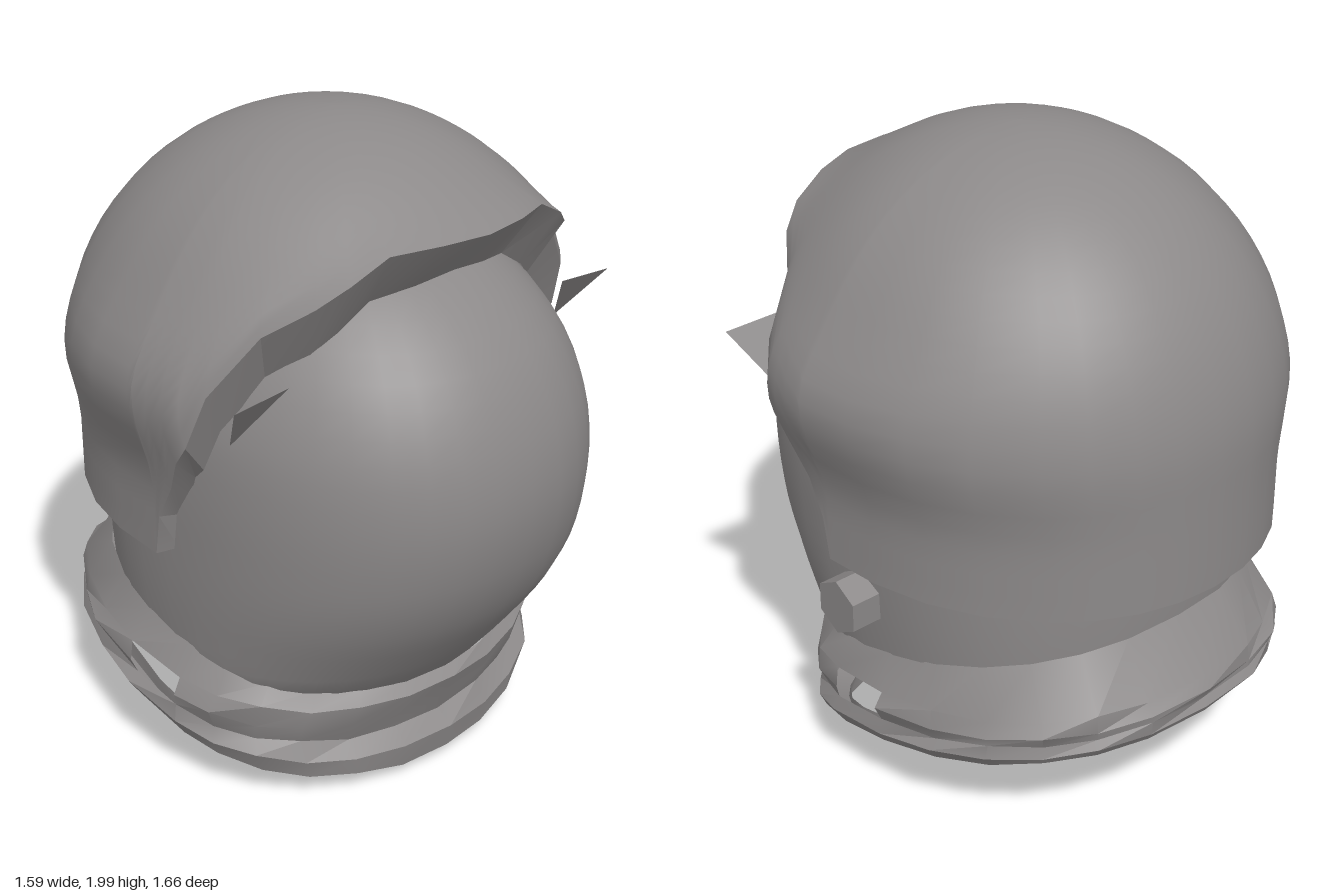
import * as THREE from 'three';
import { toCreasedNormals } from 'three/addons/utils/BufferGeometryUtils.js';

const grey = new THREE.MeshStandardMaterial({ color: 0x8c8989, side: THREE.DoubleSide });
grey.name = 'helmet grey';

const RAD = Math.PI / 180;
const { lerp, clamp, smoothstep } = THREE.MathUtils;
const bell = (v, mid, width) => Math.exp(-(((v - mid) / width) ** 2));
const squared = (v, power) => Math.sign(v) * Math.abs(v) ** power;

// Skin closed loops of points, listed from top to bottom; isHole leaves quads out
function loft(rows, crease, isHole = () => false) {
  const n = rows[0].length, index = [];
  for (let i = 0; i < rows.length - 1; i++) {
    for (let j = 0; j < n; j++) {
      if (isHole(i, j)) continue;
      const k = (j + 1) % n;
      const a = i * n + j, b = i * n + k, c = a + n, d = b + n;
      index.push(a, c, b, b, c, d);
    }
  }
  const g = new THREE.BufferGeometry();
  g.setAttribute('position', new THREE.Float32BufferAttribute(rows.flat(2), 3));
  g.setIndex(index);
  g.computeVertexNormals();
  return crease === undefined ? g : toCreasedNormals(g, crease);
}

function part(name, geometry) {
  const m = new THREE.Mesh(geometry, grey);
  m.name = name;
  return m;
}

// Angle from the front (degrees) and height of the shell's rim there
const RIM = [[0, 1.78], [15, 1.78], [30, 1.77], [40, 1.71], [48, 1.65], [60, 1.56], [69, 1.4],
  [74, 1.24], [78, 1.17], [82, 1.06], [86, 0.95], [87.5, 0.82], [100, 0.82], [113, 0.82],
  [126, 0.82], [140, 0.82], [150, 0.82], [160, 0.82], [170, 0.82], [180, 0.82]];
const AROUND = [...RIM, ...RIM.slice(1, -1).reverse().map(([a, y]) => [360 - a, y])];

// Point on the shell: t = 0 at the crown, 1 at the rim
function shellPoint(deg, rimY, t) {
  const R = 0.8, quarter = R * Math.PI / 2;
  const end = rimY >= 1.2 ? R * Math.acos((rimY - 1.2) / R) : quarter + 1.2 - rimY;
  const s = end * t;
  const y = s < quarter ? 1.2 + R * Math.cos(s / R) : 1.2 - (s - quarter);
  const r = s < quarter ? Math.sin(s / R) : 1;
  const c = Math.cos(deg * RAD), sn = Math.sin(deg * RAD);
  const side = Math.min(deg, 360 - deg);
  const power = c < 0 ? 0.96 : 1;
  // Peak flares out in front and is pinched in at the temples
  const flare = 1 + 0.12 * Math.max(0, c) * t ** 6 - 0.09 * bell(side, 60, 13) * t ** 12;
  // Ear swelling, with the sides stepping in below it
  const bulge = 0.045 * bell(y, 1.4, 0.14) * bell(side, 88, 32);
  const rx = 0.77 - 0.055 * clamp((1.26 - y) / 0.2, 0, 1) + bulge;
  return [rx * r * squared(sn, power) * flare, y, 0.82 * r * squared(c, power) * flare];
}

function shell() {
  const rows = [];
  for (let i = 0; i <= 24; i++) rows.push(AROUND.map(([a, y]) => shellPoint(a, y, i / 24)));
  return loft(rows);
}

// Strip turning inward from the shell's rim to the bubble and neck
function brim() {
  const outer = AROUND.map(([a, y]) => shellPoint(a, y, 1));
  const inner = outer.map(([x, y, z], j) => {
    const c = Math.cos(AROUND[j][0] * RAD), s = Math.abs(Math.sin(AROUND[j][0] * RAD));
    if (c <= 0) return [x * 0.89, y + 0.015, z * 0.84];
    return [x * 0.88, y - Math.min(0.14 + 0.07 * s * c, 0.4 * c), z - 0.13 * c];
  });
  return loft([outer, inner], 0.35);
}

// Rounded visor that runs down into the neck; profile points are (half width, y, front z)
function bubble() {
  const curve = new THREE.CatmullRomCurve3([
    [0.001, 1.7, 0.001], [0.23, 1.68, 0.3], [0.4, 1.6, 0.5], [0.55, 1.42, 0.7], [0.63, 1.22, 0.8],
    [0.65, 1.02, 0.83], [0.65, 0.82, 0.8], [0.645, 0.65, 0.73], [0.635, 0.5, 0.63], [0.62, 0.33, 0.5],
  ].map(p => new THREE.Vector3(...p)));
  const rows = curve.getPoints(27).map(p => {
    const row = [];
    for (let j = 0; j < 40; j++) {
      const c = Math.cos(j * 9 * RAD), s = Math.sin(j * 9 * RAD);
      const power = c > 0 ? lerp(0.97, 0.88, smoothstep(p.y, 0.33, 0.8)) : 0.88;
      const z = (c > 0 ? p.z : p.x * 1.06) * squared(c, power);
      row.push([p.x * squared(s, power), Math.max(p.y, 0.43 - 0.1 * c), z]);
    }
    return row;
  });
  return loft(rows);
}

// Tilted soft collar; rows are front y, front z, back y, back z, half width
function collar() {
  const bands = [
    [0.35, 0.52, 0.66, -0.69, 0.635], [0.32, 0.55, 0.5, -0.8, 0.69], [0.25, 0.52, 0.46, -0.82, 0.71],
    [0.18, 0.49, 0.43, -0.81, 0.69], [0.13, 0.54, 0.4, -0.82, 0.71], [0.06, 0.53, 0.37, -0.8, 0.68],
    [0.02, 0.44, 0.35, -0.74, 0.61], [0.07, 0.44, 0.4, -0.71, 0.61],
  ];
  const n = 26;
  const rows = bands.map(([yf, zf, yb, zb, rx], i) => {
    const row = [];
    for (let j = 0; j < n; j++) {
      const a = j / n * Math.PI * 2, c = Math.cos(a), s = Math.sin(a);
      const wrinkle = i > 0 && i < 7 ? 0.012 * Math.sin(j * 2.3 + i * 1.9) : 0;
      const power = c > 0 ? 0.96 : 0.84;
      const z = (c > 0 ? zf : -zb) * squared(c, power);
      row.push([rx * squared(s, power) * (1 + wrinkle), lerp(yb, yf, (c + 1) / 2) + wrinkle * 0.8, z * (1 + wrinkle)]);
    }
    return row;
  });
  // One opening through the collar at each side
  return loft(rows, 0.45, (i, j) => (i === 1 || i === 2) && (j === 6 || j === 19));
}

// Pointed triangular tab beside the visor
function visorTab(side) {
  const corners = [[0.55, 1.43, 0.43], [0.75, 1.42, 0.44], [0.66, 1.25, 0.31]];
  const g = new THREE.BufferGeometry();
  g.setAttribute('position', new THREE.Float32BufferAttribute(corners.flatMap(([x, y, z]) => [x * side, y, z]), 3));
  g.setIndex(side > 0 ? [0, 2, 1] : [0, 1, 2]);
  g.computeVertexNormals();
  return g;
}

export function createModel() {
  const helmet = new THREE.Group();
  helmet.name = 'helmet';
  helmet.add(
    part('outerShell', shell()), part('brim', brim()), part('visorBubble', bubble()), part('collar', collar()),
    part('leftVisorTab', visorTab(1)), part('rightVisorTab', visorTab(-1)),
  );

  // Hexagonal valve knob on the neck
  const knob = part('valveKnob', toCreasedNormals(new THREE.CylinderGeometry(0.09, 0.09, 0.14, 6), 0.4));
  knob.rotation.set(0.5, 0, -Math.PI / 2);
  knob.position.set(0.67, 0.685, -0.015);
  helmet.add(knob);
  return helmet;
}
